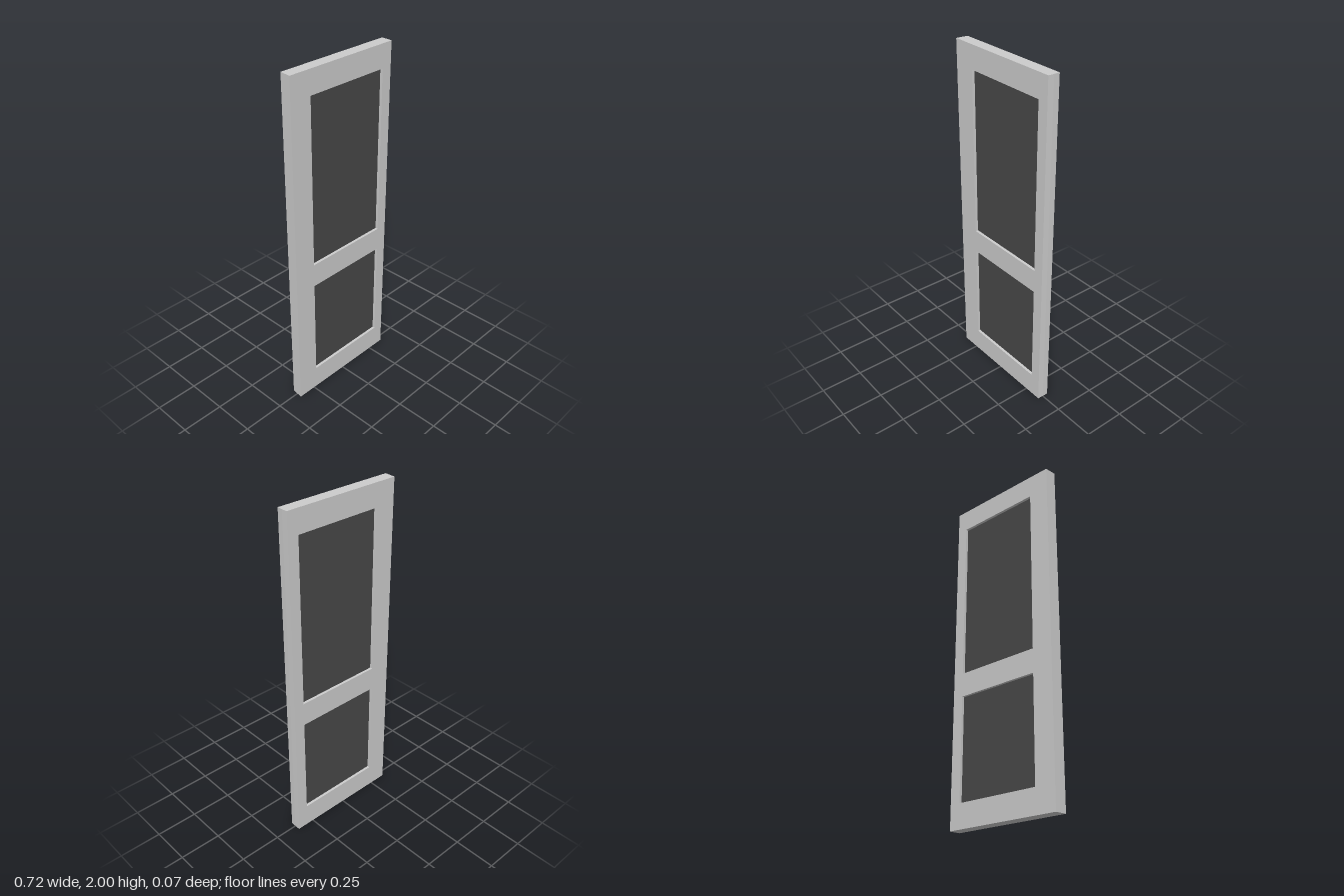
import * as THREE from 'three';

const T = 0.068; // door thickness
const HOLE_X = [-0.23, 0.295];
const PANELS = [
  { name: 'lowerPanel', y: [0.14, 0.745] },
  { name: 'upperPanel', y: [0.885, 1.865] },
];

function rect(Type, x0, x1, y0, y1) {
  return new Type([[x0, y0], [x1, y0], [x1, y1], [x0, y1]].map(([x, y]) => new THREE.Vector2(x, y)));
}

export function createModel() {
  const door = new THREE.Group();
  door.name = 'door';
  const grey = new THREE.MeshStandardMaterial({ color: 0xcccccc });
  const dark = new THREE.MeshStandardMaterial({ color: 0x484848 });

  // Frame: slab with two openings
  const outline = rect(THREE.Shape, -0.36, 0.36, 0, 2);
  for (const { y } of PANELS) outline.holes.push(rect(THREE.Path, ...HOLE_X, ...y));
  const geometry = new THREE.ExtrudeGeometry(outline, { depth: T, steps: 2, bevelEnabled: false });
  geometry.translate(0, 0, -T / 2);

  // Splay the hinge edge and slightly bevel the front half of the lock edge
  const p = geometry.attributes.position;
  for (let i = 0; i < p.count; i++) {
    const x = p.getX(i), t = p.getZ(i) / (T / 2);
    if (x < -0.35) p.setX(i, -0.3585 - 0.0035 * t);
    if (x > 0.35) p.setX(i, 0.361 - 0.0025 * Math.max(0, t));
  }
  geometry.computeVertexNormals();
  const frame = new THREE.Mesh(geometry, grey);
  frame.name = 'frame';
  door.add(frame);

  // Dark panels recessed on both faces
  for (const { name, y: [y0, y1] } of PANELS) {
    const panel = new THREE.Mesh(new THREE.BoxGeometry(HOLE_X[1] - HOLE_X[0], y1 - y0, 0.036), dark);
    panel.position.set((HOLE_X[0] + HOLE_X[1]) / 2, (y0 + y1) / 2, 0);
    panel.name = name;
    door.add(panel);
  }
  return door;
}
